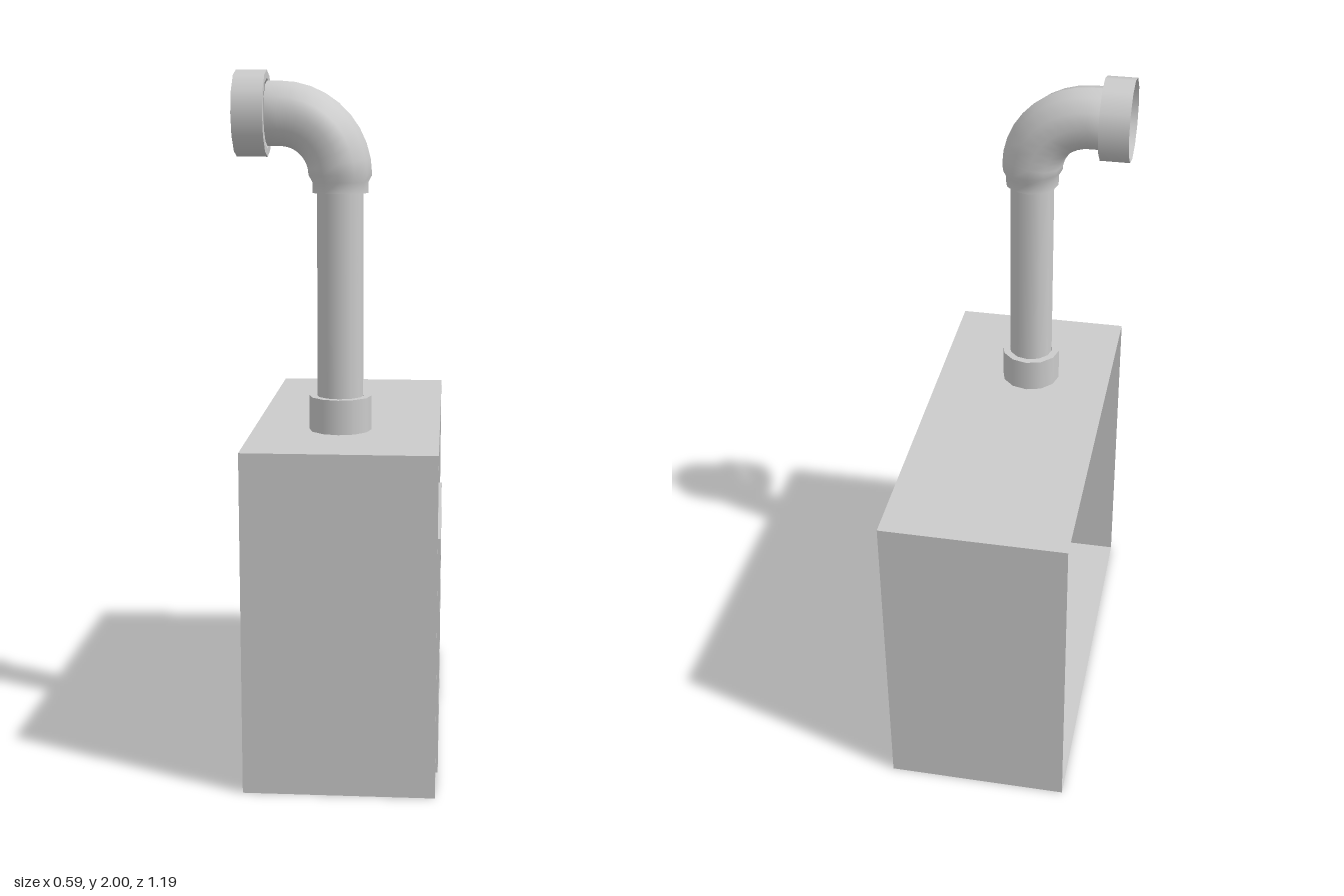
import * as THREE from 'three';

const mat = new THREE.MeshStandardMaterial({ color: 0xcccccc, side: THREE.DoubleSide });
const SIDES = 12;
const PIPE_X = -0.003, PIPE_Z = 0.255;

function add(parent, name, geometry, x = 0, y = 0, z = 0) {
  const mesh = new THREE.Mesh(geometry, mat);
  mesh.name = name;
  mesh.position.set(x, y, z);
  parent.add(mesh);
  return mesh;
}

// Rectangle in the side plane, optionally with rounded corners (u = -z, v = y)
function rect(u0, u1, v0, v1, r = 0, Type = THREE.Shape) {
  const s = new Type();
  s.moveTo(u0 + r, v0);
  const corners = [[u1, v0, 0, 1], [u1, v1, -1, 0], [u0, v1, 0, -1], [u0, v0, 1, 0]];
  const before = [[-1, 0], [0, -1], [1, 0], [0, 1]];
  corners.forEach(([u, v, du, dv], i) => {
    s.lineTo(u + before[i][0] * r, v + before[i][1] * r);
    if (r) s.quadraticCurveTo(u, v, u + du * r, v + dv * r);
  });
  return s;
}

// Turns a shape drawn in the side plane to face +x
const faceSide = (g, x) => g.rotateY(Math.PI / 2).translate(x, 0, 0);
const extrude = (shape, depth, x) =>
  faceSide(new THREE.ExtrudeGeometry(shape, { depth, bevelEnabled: false, curveSegments: 4 }), x);

// Thin sheet swept along points of (x, z) between two heights
function sheet(points, y0, y1) {
  const pos = [], idx = [];
  points.forEach(([x, z], i) => {
    pos.push(x, y0, z, x, y1, z);
    if (i) {
      const a = 2 * i - 2;
      idx.push(a, a + 2, a + 1, a + 1, a + 2, a + 3);
    }
  });
  const g = new THREE.BufferGeometry();
  g.setAttribute('position', new THREE.Float32BufferAttribute(pos, 3));
  g.setIndex(idx);
  g.computeVertexNormals();
  return g;
}

// Open ring: outer wall and a flat collar face at the top end
function ring(rOuter, rInner, height) {
  const p = [[rOuter, 0], [rOuter, height], [rOuter, height], [rInner, height]];
  return new THREE.LatheGeometry(p.map(([r, y]) => new THREE.Vector2(r, y)), SIDES);
}

function buildCabinet() {
  const cabinet = new THREE.Group();
  cabinet.name = 'cabinet';
  const X0 = -0.255, X1 = 0.285, H = 0.98, Z = 0.595, B = 0.033;
  const w = X1 - X0, cx = (X0 + X1) / 2;

  // Outer walls, with the -x side left open
  add(cabinet, 'topWall', new THREE.PlaneGeometry(w, 2 * Z).rotateX(-Math.PI / 2), cx, H, 0);
  add(cabinet, 'bottomWall', new THREE.PlaneGeometry(w, 2 * Z).rotateX(Math.PI / 2), cx, 0, 0);
  add(cabinet, 'frontWall', new THREE.PlaneGeometry(w, H), cx, H / 2, Z);
  add(cabinet, 'backWall', new THREE.PlaneGeometry(w, H).rotateY(Math.PI), cx, H / 2, -Z);

  // Flat frame round the open face
  const frame = rect(-Z, Z, 0, H);
  frame.holes.push(rect(-Z + B, Z - B, B, H - B, 0, THREE.Path));
  add(cabinet, 'frame', faceSide(new THREE.ShapeGeometry(frame), X1));

  // Recessed panel with a soft step towards its far half
  const deep = 0.235, shallow = 0.265, e = Z - B;
  const profile = [[deep, e], [deep, -0.1], [0.242, -0.118], [0.258, -0.132], [shallow, -0.16], [shallow, -e]];
  add(cabinet, 'panel', sheet(profile, B, H - B));

  // Recess sides
  add(cabinet, 'recessFront', sheet([[X1, e], [deep, e]], B, H - B));
  add(cabinet, 'recessBack', sheet([[shallow, -e], [X1, -e]], B, H - B));
  const ledge = new THREE.Shape([...profile, [X1, -e], [X1, e]].map(([x, z]) => new THREE.Vector2(x, -z)));
  for (const [name, y] of [['recessBottom', B], ['recessTop', H - B]])
    add(cabinet, name, new THREE.ShapeGeometry(ledge).rotateX(-Math.PI / 2), 0, y, 0);

  // Raised door with a rounded, sunken window
  const door = rect(-0.555, 0.087, 0.06, 0.74);
  door.holes.push(rect(-0.428, -0.047, 0.153, 0.557, 0.03, THREE.Path));
  add(cabinet, 'door', extrude(door, 0.057, deep));
  add(cabinet, 'window', faceSide(new THREE.ShapeGeometry(rect(-0.428, -0.047, 0.153, 0.557, 0.03), 4), 0.257));
  return cabinet;
}

// Bent tube from a straight lower socket to a straight horizontal end
function elbow() {
  const R = 0.17, cy = 1.71, steps = 9;
  const stations = [[0, 1.66, 0, 0.079], [0, 1.69, 0, 0.079]];
  for (let i = 0; i <= steps; i++) {
    const a = (i / steps) * Math.PI / 2;
    stations.push([-R + R * Math.cos(a), cy + R * Math.sin(a), a, 0.09]);
  }
  stations.push([-0.205, cy + R, Math.PI / 2, 0.09]);
  const pos = [], idx = [], n = SIDES + 1;
  stations.forEach(([x, y, a, r], i) => {
    for (let j = 0; j < n; j++) {
      const t = (j / SIDES) * Math.PI * 2;
      const out = r * Math.cos(t);
      pos.push(x + out * Math.cos(a), y + out * Math.sin(a), r * Math.sin(t));
      if (i && j) {
        const p = (i - 1) * n + j - 1, q = p + n;
        idx.push(p, q, p + 1, p + 1, q, q + 1);
      }
    }
  });
  const g = new THREE.BufferGeometry();
  g.setAttribute('position', new THREE.Float32BufferAttribute(pos, 3));
  g.setIndex(idx);
  g.computeVertexNormals();
  return g;
}

function buildChimney() {
  const chimney = new THREE.Group();
  chimney.name = 'chimney';
  chimney.position.set(PIPE_X, 0, PIPE_Z);

  // Upright pipe reaching down inside the cabinet
  add(chimney, 'pipe', new THREE.CylinderGeometry(0.066, 0.066, 0.9, SIDES, 1, true), 0, 1.23, 0);
  add(chimney, 'baseCollar', ring(0.09, 0.068, 0.1), 0, 0.98, 0);
  add(chimney, 'elbow', elbow());

  // Wide open collar at the outlet
  const outlet = add(chimney, 'outletCollar', ring(0.12, 0.098, 0.087), -0.292, 1.88, 0);
  outlet.rotation.z = -Math.PI / 2;
  return chimney;
}

export function createModel() {
  const model = new THREE.Group();
  model.name = 'stove';
  model.add(buildCabinet(), buildChimney());
  return model;
}
